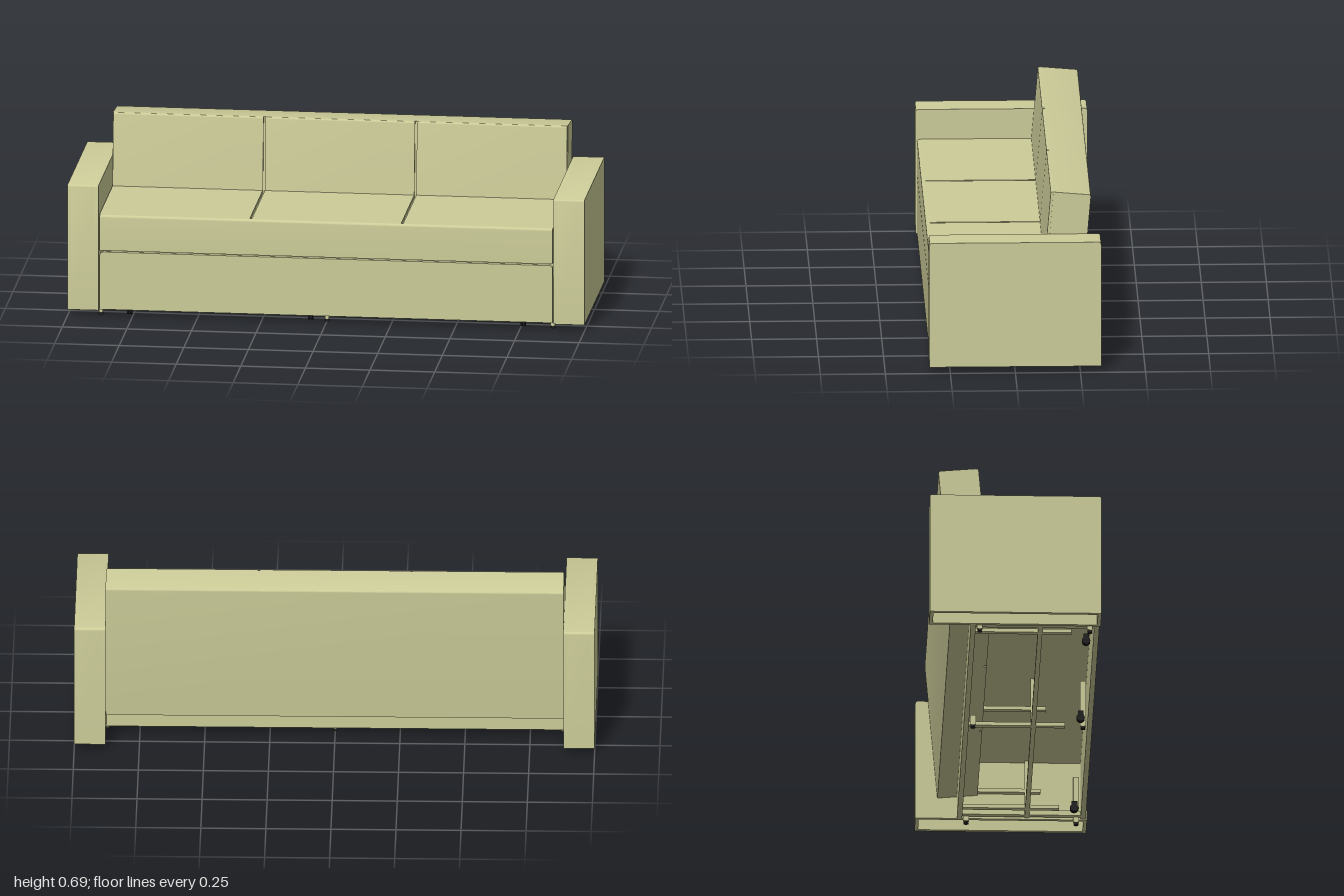
import * as THREE from 'three';
import { toCreasedNormals } from 'three/addons/utils/BufferGeometryUtils.js';

const fabric = new THREE.MeshStandardMaterial({ color: 0xcccc99 });
fabric.name = 'olive fabric';
const black = new THREE.MeshStandardMaterial({ color: 0x222222 });
black.name = 'black plastic';

function add(parent, name, geometry, material, x = 0, y = 0, z = 0) {
  const mesh = new THREE.Mesh(geometry, material);
  mesh.name = name;
  mesh.position.set(x, y, z);
  parent.add(mesh);
  return mesh;
}

// box given by its limits on each axis
function block(parent, name, [x0, x1], [y0, y1], [z0, z1], material = fabric) {
  return add(parent, name, new THREE.BoxGeometry(x1 - x0, y1 - y0, z1 - z0), material,
    (x0 + x1) / 2, (y0 + y1) / 2, (z0 + z1) / 2);
}

// rectangle with rounded top corners, optionally hollowed from below
function roundedTop(w, h, r0, r1, wall = 0) {
  const s = new THREE.Shape();
  s.moveTo(0, 0);
  if (wall) {
    s.lineTo(wall, 0);
    s.lineTo(wall, h - wall);
    s.lineTo(w - wall, h - wall);
    s.lineTo(w - wall, 0);
  }
  s.lineTo(w, 0);
  s.lineTo(w, h - r1);
  if (r1) s.quadraticCurveTo(w, h, w - r1, h);
  s.lineTo(r0, h);
  if (r0) s.quadraticCurveTo(0, h, 0, h - r0);
  s.closePath();
  return s;
}

function extrude(shape, depth) {
  return toCreasedNormals(
    new THREE.ExtrudeGeometry(shape, { depth, bevelEnabled: false, curveSegments: 5 }), 0.6);
}

// side profile swept across x; the profile starts at the front and runs back
function sweep(parent, name, shape, x0, x1, y, zFront) {
  return add(parent, name, extrude(shape, x1 - x0).rotateY(Math.PI / 2), fabric, x0, y, zFront);
}

export function createModel() {
  const sofa = new THREE.Group();
  sofa.name = 'sofa';

  // hollow arms, open underneath
  const wall = 0.014;
  for (const [name, x0] of [['leftArm', 0.88], ['rightArm', -1]]) {
    const arm = new THREE.Group();
    arm.name = name;
    sofa.add(arm);
    const side = roundedTop(0.66, 0.495, 0.01, 0.01);
    sweep(arm, 'armPanel', side, x0, x0 + wall, 0.025, 0.33);
    sweep(arm, 'armShell', roundedTop(0.66, 0.495, 0.01, 0.01, wall), x0 + wall, x0 + 0.12 - wall, 0.025, 0.33);
    sweep(arm, 'armPanel', side, x0 + 0.12 - wall, x0 + 0.12, 0.025, 0.33);
  }

  // three cushion sections with narrow seams between
  const sections = [-1, 0, 1].map(i => [
    i < 0 ? -0.878 : i * 0.293 + (i ? 0.004 : -0.289),
    i > 0 ? 0.878 : i * 0.293 + (i ? -0.004 : 0.289),
  ]);

  // seat
  block(sofa, 'seatBase', [-0.876, 0.876], [0.262, 0.39], [-0.125, 0.31]);
  sweep(sofa, 'seatFront', roundedTop(0.016, 0.14, 0.01, 0), -0.876, 0.876, 0.262, 0.325);
  for (const [a, b] of sections) block(sofa, 'seatCushion', [a, b], [0.39, 0.402], [-0.125, 0.309]);

  // leaning backrest
  const back = new THREE.Group();
  back.name = 'backrest';
  back.position.set(0, 0.11, -0.245);
  back.rotation.x = -0.087;
  sofa.add(back);
  sweep(back, 'backBody', roundedTop(0.145, 0.567, 0, 0.01), -0.88, 0.88, 0, 0.145);
  for (const [a, b] of sections) sweep(back, 'backCushion', roundedTop(0.01, 0.567, 0.008, 0), a, b, 0, 0.155);

  // drawer front with rounded top corners
  add(sofa, 'drawerFront', extrude(roundedTop(1.752, 0.228, 0.015, 0.015), 0.02), fabric, -0.876, 0.028, 0.305);

  // frame underneath
  block(sofa, 'backRail', [-0.879, 0.879], [0.025, 0.14], [-0.17, -0.15]);
  block(sofa, 'longRail', [-0.879, 0.879], [0.03, 0.05], [0.09, 0.108]);
  for (const x of [-0.8, 0.05, 0.8]) {
    block(sofa, 'crossRail', [x - 0.01, x + 0.01], [0.03, 0.045], [-0.15, 0.22]);
    block(sofa, 'upperCrossRail', [x + 0.06, x + 0.08], [0.13, 0.145], [-0.1, 0.15]);
    block(sofa, 'railPost', [x + 0.06, x + 0.08], [0.05, 0.262], [0.09, 0.105]);
  }
  for (const x of [-0.86, 0.86]) block(sofa, 'sideRail', [x - 0.01, x + 0.01], [0.03, 0.05], [-0.15, 0.305]);

  // feet: short posts on black pads
  for (const x of [-0.874, 0, 0.874]) {
    for (const z of [-0.135, 0.288]) {
      block(sofa, 'footPost', [x - 0.008, x + 0.008], [0.01, z > 0 ? 0.2 : 0.05], [z - 0.011, z + 0.011]);
      add(sofa, 'footPad', new THREE.CylinderGeometry(0.006, 0.01, 0.01, 16), black, x, 0.005, z);
    }
  }

  // casters: twin wheels under a bracket
  for (const x of [-0.765, -0.065, 0.757]) {
    const caster = new THREE.Group();
    caster.name = 'caster';
    caster.position.set(x, 0, 0.277);
    sofa.add(caster);
    for (const dx of [-0.006, 0.006]) {
      add(caster, 'wheel', new THREE.CylinderGeometry(0.016, 0.016, 0.007, 20).rotateZ(Math.PI / 2), black, dx, 0.016, 0);
    }
    block(caster, 'bracket', [-0.006, 0.006], [0.014, 0.045], [-0.01, 0.012], black);
  }

  return sofa;
}
